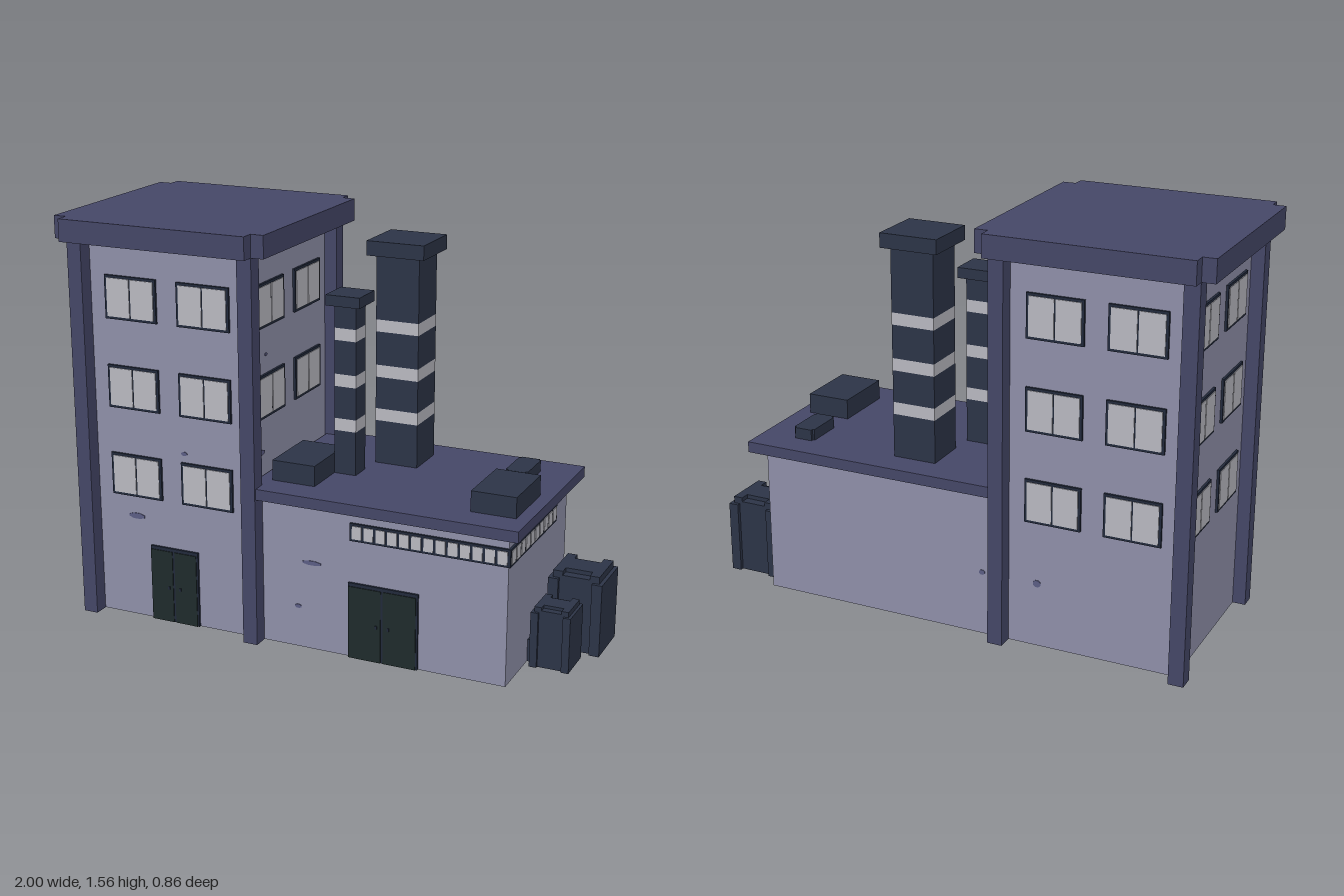
import * as THREE from 'three';

const mat = (name, color) => {
  const m = new THREE.MeshStandardMaterial({ color });
  m.name = name;
  return m;
};

export function createModel() {
  const wall = mat('wall lilac', 0x9192ac);
  const trim = mat('roof purple', 0x464869);
  const metal = mat('dark slate', 0x2d3548);
  const pale = mat('pale grey', 0xbcbcc4);
  const frameMat = mat('frame navy', 0x222a3c);
  const doorMat = mat('door green', 0x1f2b2c);
  const patchMat = mat('patch violet', 0x5d5f86);

  const model = new THREE.Group();
  model.name = 'factory';

  // box given by its min and max on each axis
  const box = (name, m, x0, x1, y0, y1, z0, z1, parent = model) => {
    const mesh = new THREE.Mesh(new THREE.BoxGeometry(x1 - x0, y1 - y0, z1 - z0), m);
    mesh.position.set((x0 + x1) / 2, (y0 + y1) / 2, (z0 + z1) / 2);
    mesh.name = name;
    parent.add(mesh);
    return mesh;
  };
  // group lying on a wall: local +z points out of the wall
  const onWall = (name, x, y, z, turn) => {
    const g = new THREE.Group();
    g.name = name;
    g.position.set(x, y, z);
    g.rotation.y = turn;
    model.add(g);
    return g;
  };

  const CX = -0.57, HX = 0.33, HZ = 0.32;

  // Tower walls, corner pillars and cross-shaped cornice
  box('towerWalls', wall, CX - HX, CX + HX, 0, 1.48, -HZ, HZ);
  for (const sx of [-1, 1]) for (const sz of [-1, 1]) {
    const px = CX + sx * 0.351, pz = sz * 0.351;
    box('cornerPillar', trim, px - 0.029, px + 0.029, 0, 1.476, pz - 0.03, pz + 0.03);
  }
  const crossShape = (hx, hz, ax, az) => new THREE.Shape([
    [hx, -az], [hx, az], [ax, az], [ax, hz], [-ax, hz], [-ax, az],
    [-hx, az], [-hx, -az], [-ax, -az], [-ax, -hz], [ax, -hz], [ax, -az],
  ].map(([x, y]) => new THREE.Vector2(x, y)));
  const cross = (name, m, x, z, y0, y1, hx, hz, ax, az) => {
    const g = new THREE.ExtrudeGeometry(crossShape(hx, hz, ax, az), { depth: y1 - y0, bevelEnabled: false });
    g.rotateX(-Math.PI / 2);
    const mesh = new THREE.Mesh(g, m);
    mesh.position.set(x, y0, z);
    mesh.name = name;
    model.add(mesh);
  };
  cross('cornice', trim, CX, 0, 1.475, 1.56, 0.43, 0.43, 0.38, 0.38);

  // Two-pane windows
  const addWindow = (x, y, z, turn) => {
    const g = onWall('window', x, y, z, turn);
    box('windowFrame', frameMat, -0.108, 0.108, -0.083, 0.083, 0, 0.009, g);
    for (const s of [-1, 1]) {
      const c = s * 0.0505;
      box('windowPane', pale, c - 0.0475, c + 0.0475, -0.073, 0.073, 0.003, 0.012, g);
    }
  };
  [0.573, 0.919, 1.262].forEach((y, row) => {
    for (const s of [-1, 1]) {
      addWindow(CX + s * 0.151, y, HZ, 0);
      addWindow(CX + s * 0.151, y, -HZ, Math.PI);
      addWindow(CX - HX, y, s * 0.152, -Math.PI / 2);
      if (row > 0) addWindow(CX + HX, y, s * 0.152, Math.PI / 2);
    }
  });

  // Low hall and its flat roof
  box('hallWalls', wall, CX + HX, 0.77, 0, 0.58, -HZ, HZ);
  box('hallRoof', trim, -0.235, 0.82, 0.575, 0.617, -0.373, 0.373);

  // Ribbon windows wrapping the hall corner
  const ribbon = (x, z, turn, length, count) => {
    const g = onWall('ribbonWindow', x, 0.494, z, turn);
    box('ribbonFrame', frameMat, -length / 2, length / 2, -0.034, 0.034, 0, 0.009, g);
    const step = (length - 0.012) / count;
    for (let i = 0; i < count; i++) {
      const c = (i + 0.5 - count / 2) * step;
      box('ribbonPane', pale, c - step / 2 + 0.005, c + step / 2 - 0.005, -0.025, 0.025, 0.003, 0.012, g);
    }
  };
  ribbon(0.472, HZ, 0, 0.614, 13);
  ribbon(0.77, 0.075, Math.PI / 2, 0.508, 10);

  // Double doors with frame and handles
  const door = (x, w, h) => {
    const g = onWall('door', x, 0, HZ, 0);
    box('doorFrame', frameMat, -w / 2, w / 2, 0, h, 0, 0.009, g);
    for (const s of [-1, 1]) {
      const c = s * w / 4, half = w / 4 - 0.007;
      box('doorLeaf', doorMat, c - half - 0.005, c + half - 0.005 * s * s + 0.005, 0, h - 0.013, 0.003, 0.012, g);
      box('doorHandle', frameMat, s * 0.024 - 0.004, s * 0.024 + 0.004, 0.134, 0.146, 0.012, 0.015, g);
    }
  };
  door(-0.568, 0.205, 0.302);
  door(0.297, 0.275, 0.296);

  // Striped square chimneys with wider caps
  const bands = [[0.785, 0.832], [0.955, 1.002], [1.13, 1.176]];
  const chimney = (x, z, half, capHalf, top, capTop) => {
    let y = 0.61;
    for (const [a, b] of bands) {
      box('chimneyShaft', metal, x - half, x + half, y, a, z - half, z + half);
      box('chimneyBand', pale, x - half, x + half, a, b, z - half, z + half);
      y = b;
    }
    box('chimneyShaft', metal, x - half, x + half, y, top, z - half, z + half);
    box('chimneyCap', metal, x - capHalf, x + capHalf, top, capTop, z - capHalf, z + capHalf);
  };
  chimney(0.167, -0.173, 0.085, 0.113, 1.42, 1.475);
  chimney(0.036, 0.043, 0.043, 0.067, 1.262, 1.302);

  // Rooftop units
  box('roofUnit', metal, -0.18, -0.008, 0.61, 0.695, 0, 0.257);
  box('roofUnit', metal, 0.6, 0.77, 0.61, 0.695, 0, 0.257);
  cross('roofVent', metal, 0.643, -0.178, 0.61, 0.66, 0.043, 0.083, 0.035, 0.072);

  // Stepped tanks beside the hall, with low pipes into the wall
  const tank = (x, z, r, h, cap) => {
    cross('tankBody', metal, x, z, 0, h, r, r * 0.62, r * 0.62, r);
    cross('tankCore', metal, x, z, 0, h + cap * 0.4, r * 0.86, r * 0.86, r * 0.8, r * 0.8);
    cross('tankLid', metal, x, z, h, h + cap, r * 0.86, r * 0.5, r * 0.5, r * 0.86);
    box('tankPipe', metal, 0.77, x, 0, 0.087, z - 0.035, z + 0.035);
  };
  tank(0.897, -0.156, 0.103, 0.283, 0.027);
  tank(0.866, 0.052, 0.075, 0.215, 0.02);

  // Small worn patches on the walls: x, y, z, turn, half width, half height
  const B = Math.PI, R = Math.PI / 2;
  for (const [x, y, z, turn, w, h] of [
    [-0.73, 0.41, HZ, 0, 0.036, 0.012], [-0.515, 0.69, HZ, 0, 0.013, 0.008],
    [0.01, 0.343, HZ, 0, 0.04, 0.009], [-0.046, 0.163, HZ, 0, 0.014, 0.008],
    [-0.255, 0.33, HZ, 0, 0.014, 0.022], [CX + HX, 0.705, 0.235, R, 0.034, 0.011],
    [CX + HX, 1.073, 0.184, R, 0.01, 0.006], [-0.14, 0.25, -HZ, B, 0.012, 0.01],
    [-0.36, 0.25, -HZ, B, 0.016, 0.014],
  ]) {
    const g = onWall('wallPatch', x, y, z, turn);
    const disc = new THREE.Mesh(new THREE.CylinderGeometry(1, 1, 0.006, 8).rotateY(B / 8).rotateX(R), patchMat);
    disc.scale.set(w, h, 1);
    disc.name = 'patch';
    g.add(disc);
  }
  return model;
}
